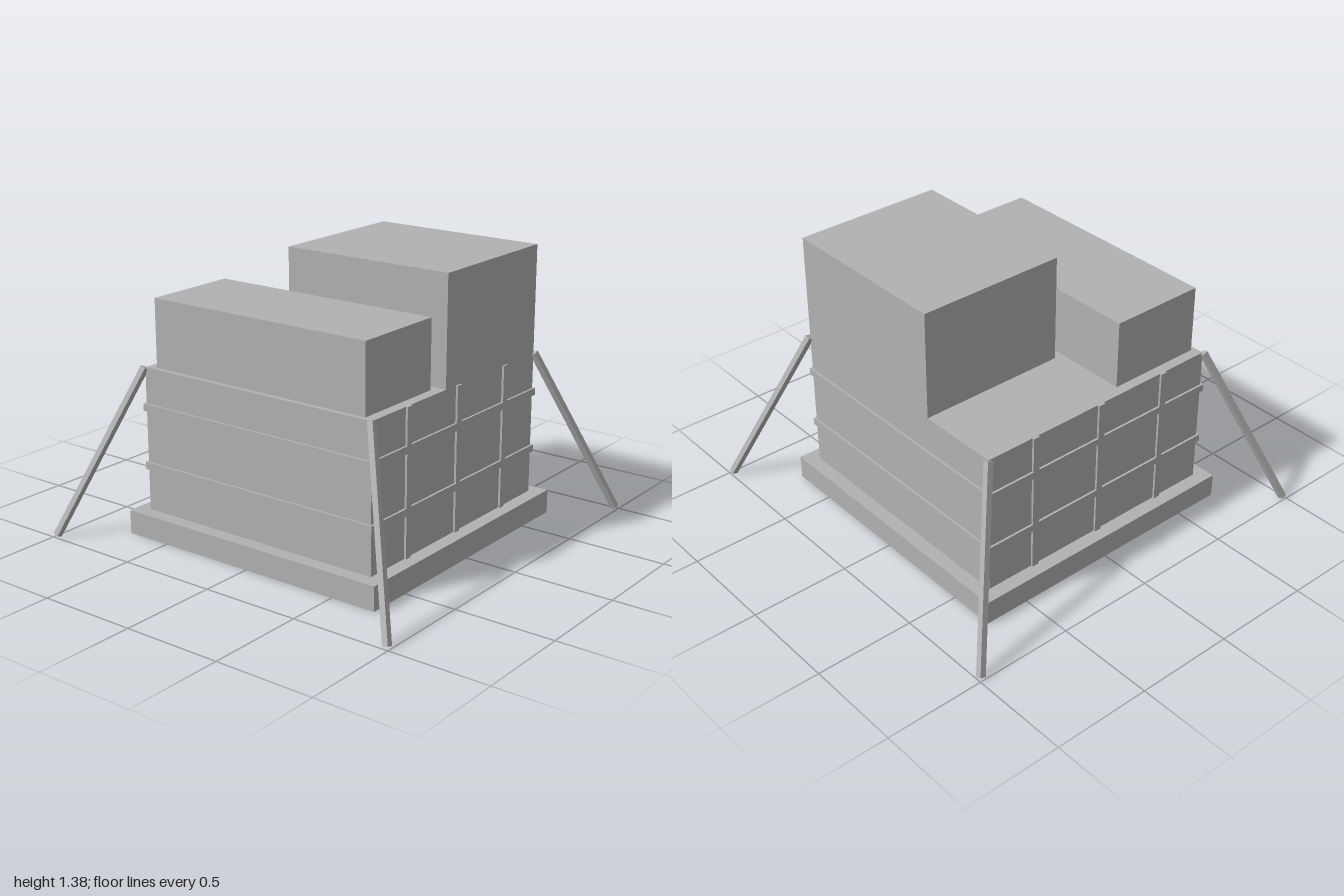
import * as THREE from 'three';

export function createModel() {
  const model = new THREE.Group();
  model.name = 'strappedCargo';
  const grey = new THREE.MeshStandardMaterial({ color: 0xb2b2b2 });
  grey.name = 'grey';

  // Box given by its lower and upper corners
  function box(name, [x0, y0, z0], [x1, y1, z1]) {
    const mesh = new THREE.Mesh(new THREE.BoxGeometry(x1 - x0, y1 - y0, z1 - z0), grey);
    mesh.name = name;
    mesh.position.set((x0 + x1) / 2, (y0 + y1) / 2, (z0 + z1) / 2);
    model.add(mesh);
  }

  // Square bar running between two points
  function bar(name, from, to, width) {
    const dir = to.clone().sub(from);
    const mesh = new THREE.Mesh(new THREE.BoxGeometry(width, dir.length(), width), grey);
    mesh.name = name;
    mesh.position.copy(from).add(to).multiplyScalar(0.5);
    mesh.quaternion.setFromUnitVectors(new THREE.Vector3(0, 1, 0), dir.normalize());
    model.add(mesh);
  }

  const B = 0.735; // base half width
  const W = 0.665; // crate half width
  const S = 0.676; // strap half width
  const deck = 0.84;

  // Base, main crate and the two crates stacked on it
  box('base', [-B, 0, -B], [B, 0.12, B]);
  box('mainCrate', [-W, 0.12, -W], [W, deck, W]);
  box('tallCrate', [-0.1, deck, -0.245], [W, 1.38, W]);
  box('lowCrate', [-0.64, deck, -0.613], [-0.148, 1.18, 0.613]);

  // Straps around the main crate
  for (const y of [0.347, 0.642]) {
    box('horizontalStrap', [-S, y - 0.018, -S], [S, y + 0.018, S]);
  }

  // Upright slats on the front and back
  for (const x of [-0.396, 0, 0.396]) {
    box('frontSlat', [x - 0.018, 0.12, W], [x + 0.018, deck, S]);
    box('backSlat', [x - 0.018, 0.12, -S], [x + 0.018, deck, -W]);
  }

  // Slanted stays from the four corners to the ground
  for (const sx of [-1, 1]) {
    for (const sz of [-1, 1]) {
      bar('cornerStay',
        new THREE.Vector3(sx * 0.985, 0.01, sz * 0.985),
        new THREE.Vector3(sx * 0.667, deck, sz * 0.667), 0.03);
    }
  }
  return model;
}
